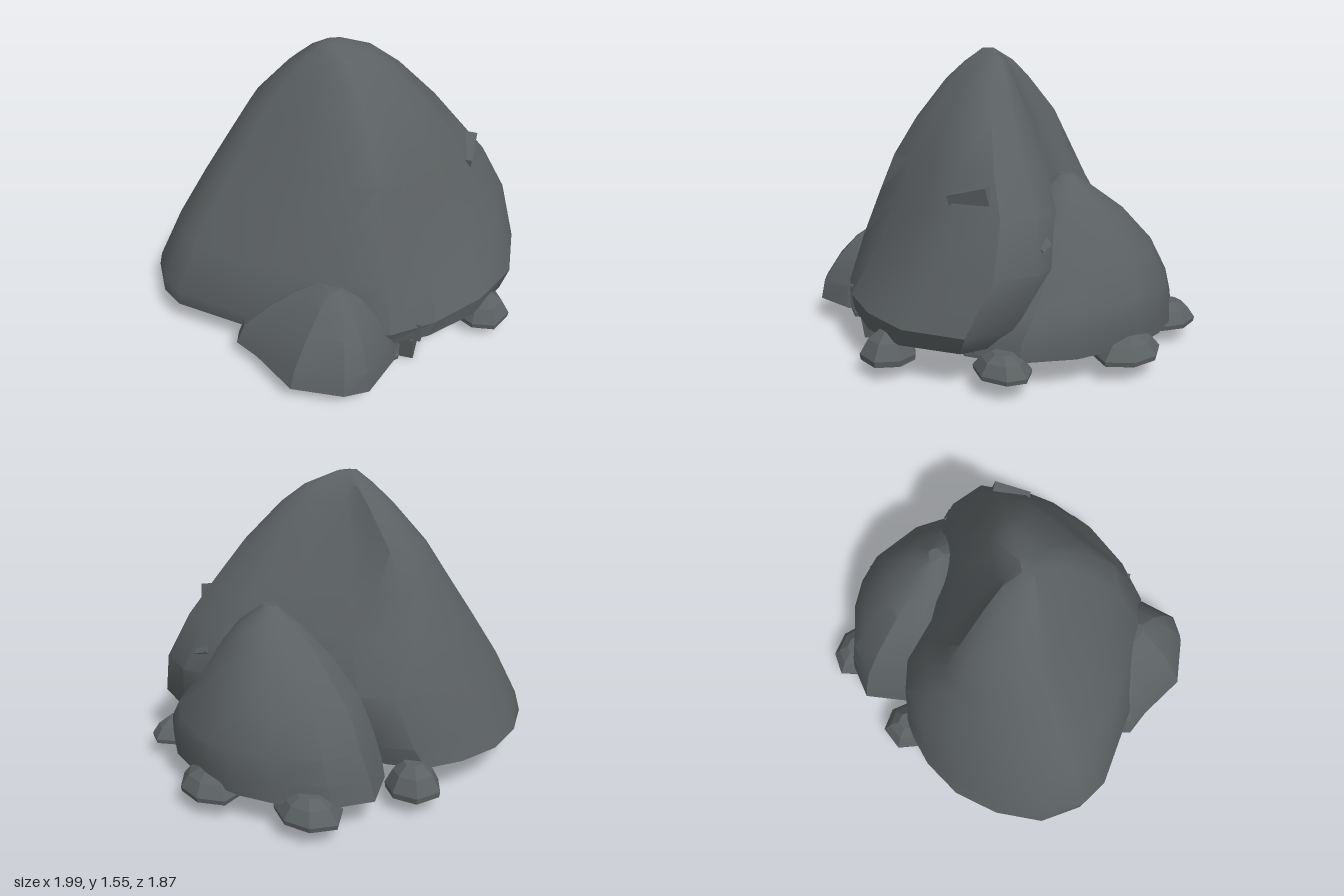
import * as THREE from 'three';
import { toCreasedNormals } from 'three/addons/utils/BufferGeometryUtils.js';

const stone = new THREE.MeshStandardMaterial({ color: 0x5b6062 });
stone.name = 'stone grey';

// Closed rock: one outline [x, z] refitted to the box of each level [y, x0, x1, z0, z1, bulge, cut].
// Bulge fills the -x +z corner, cut trims the +x -z corner.
function loft(name, outline, levels, crease) {
  const xs = outline.map(p => p[0]), zs = outline.map(p => p[1]);
  const ax = Math.min(...xs), bx = Math.max(...xs), az = Math.min(...zs), bz = Math.max(...zs);
  const n = outline.length, pos = [], index = [];
  for (const [y, x0, x1, z0, z1, bulge = 0, cut = 0] of levels) {
    for (const [x, z] of outline) {
      const u = (x - ax) / (bx - ax) * 2 - 1, w = (z - az) / (bz - az) * 2 - 1;
      const push = (u < 0 ? bulge : cut) * Math.max(0, -u * w);
      pos.push((x0 + x1 + (u - push) * (x1 - x0)) / 2, y, (z0 + z1 + (w + push) * (z1 - z0)) / 2);
    }
  }
  const last = levels.length - 1;
  for (const l of [levels[0], levels[last]]) pos.push((l[1] + l[2]) / 2, l[0], (l[3] + l[4]) / 2);
  const bottom = n * levels.length, top = bottom + 1;
  for (let i = 0; i < n; i++) {
    const j = (i + 1) % n;
    for (let k = 0; k < last; k++) {
      const a = k * n + i, b = k * n + j;
      index.push(a, a + n, b, b, a + n, b + n);
    }
    index.push(bottom, i, j, top, last * n + j, last * n + i);
  }
  const geo = new THREE.BufferGeometry();
  geo.setAttribute('position', new THREE.Float32BufferAttribute(pos, 3));
  geo.setIndex(index);
  const mesh = new THREE.Mesh(toCreasedNormals(geo, crease), stone);
  mesh.name = name;
  return mesh;
}

// Low faceted stone with a flat underside
function pebble(name, x, z, rx, rz, y, h, turn) {
  const outline = [];
  for (let i = 0; i < 7; i++) {
    const a = turn + i / 7 * Math.PI * 2, r = i % 3 ? 1 : 0.88;
    outline.push([Math.cos(a) * r, Math.sin(a) * r]);
  }
  const levels = [[0, 0.97], [0.2, 1], [0.7, 0.72], [1, 0.35]].map(([t, s]) =>
    [y + h * t, x - rx * s, x + rx * s, z - rz * s, z + rz * s]);
  return loft(name, outline, levels, 0.15);
}

function block(name, size, at, turn) {
  const mesh = new THREE.Mesh(new THREE.BoxGeometry(...size), stone);
  mesh.name = name;
  mesh.position.set(...at);
  mesh.rotation.set(...turn);
  return mesh;
}

export function createModel() {
  const group = new THREE.Group();
  group.name = 'rockPile';

  // Tall boulder
  group.add(loft('mainBoulder', [
    [0.7, 0.4], [0.64, 0.67], [0.35, 0.84], [0.05, 0.85], [-0.25, 0.77], [-0.47, 0.64],
    [-0.63, 0.44], [-0.85, 0.05], [-1, -0.4], [-0.98, -0.55], [-0.85, -0.75], [-0.6, -0.88],
    [-0.33, -0.94], [-0.08, -0.91], [0.12, -0.82], [0.24, -0.65], [0.42, -0.15], [0.62, 0.15],
  ], [
    [0.19, -0.99, 0.58, -0.93, 0.83, 0, -0.08], [0.29, -1, 0.65, -0.89, 0.85, 0.08, -0.08],
    [0.55, -0.87, 0.7, -0.8, 0.7, 0.33, 0], [0.8, -0.71, 0.61, -0.69, 0.57, 0.52, 0.3],
    [1, -0.58, 0.46, -0.59, 0.48, 0.62, 0.5], [1.2, -0.46, 0.32, -0.48, 0.37, 0.6, 0.68],
    [1.4, -0.33, 0.16, -0.29, 0.21, 0.6, 0.9], [1.49, -0.26, 0.06, -0.18, 0.11, 0.5, 0.8],
    [1.555, -0.2, -0.09, -0.07, -0.01, 0.3, 0.3],
  ], 0.65));

  // Shoulder boulder
  group.add(loft('sideBoulder', [
    [0.92, -0.15], [0.86, 0.2], [0.72, 0.45], [0.5, 0.55], [0.2, 0.4], [0.1, 0],
    [0.15, -0.5], [0.22, -0.7], [0.43, -0.83], [0.62, -0.74], [0.8, -0.52], [0.88, -0.35],
  ], [
    [0.15, 0.1, 0.9, -0.83, 0.55], [0.25, 0.1, 0.91, -0.8, 0.53], [0.37, 0.12, 0.9, -0.75, 0.44],
    [0.55, 0.16, 0.81, -0.65, 0.29], [0.74, 0.24, 0.69, -0.45, 0.17], [0.86, 0.31, 0.58, -0.27, 0.08],
    [0.95, 0.4, 0.47, -0.13, -0.05],
  ], 0.5));

  // Low boulder
  group.add(loft('lowBoulder', [
    [-0.3, 0.4], [-0.35, 0.62], [-0.48, 0.69], [-0.73, 0.73], [-0.84, 0.66],
    [-0.98, 0.43], [-0.94, 0.15], [-0.94, 0], [-0.88, -0.05], [-0.5, 0],
  ], [
    [0.13, -0.98, -0.32, -0.05, 0.73], [0.24, -0.94, -0.36, -0.02, 0.71],
    [0.38, -0.84, -0.42, 0.1, 0.63], [0.48, -0.74, -0.5, 0.22, 0.54], [0.54, -0.66, -0.58, 0.32, 0.44],
  ], 0.35));

  // Stones around the foot: x, z, rx, rz, y, height, turn
  [
    [0.13, 0.79, 0.135, 0.14, 0.08, 0.15, 0.2],
    [0.86, -0.12, 0.13, 0.185, 0.09, 0.12, 0.5],
    [0.11, -0.79, 0.145, 0.15, 0.08, 0.15, 0.9],
    [0.67, -0.64, 0.135, 0.18, 0.09, 0.12, 0.1],
    [0.65, 0.5, 0.15, 0.12, 0.09, 0.11, 0.7],
    [-0.78, 0.08, 0.12, 0.14, 0.08, 0.13, 0.3],
    [-0.46, 0.54, 0.13, 0.14, 0.09, 0.12, 0.6],
    [-0.55, -0.26, 0.13, 0.15, 0.09, 0.13, 1.1],
  ].forEach((p, i) => group.add(pebble('footStone' + (i + 1), ...p)));

  // Blocks under the boulders: x, z, half width, half depth
  [[0.3, 0.29, 0.19, 0.18], [-0.37, -0.36, 0.15, 0.15]].forEach(([x, z, rx, rz], i) => {
    const geo = new THREE.CylinderGeometry(1, 1, 0.15, 6).toNonIndexed();
    geo.scale(rx, 1, rz);
    geo.computeVertexNormals();
    const post = new THREE.Mesh(geo, stone);
    post.name = 'underBlock' + (i + 1);
    post.position.set(x, 0.13, z);
    group.add(post);
  });
  group.add(block('tiltedSlab', [0.45, 0.16, 0.16], [-0.18, 0.125, 0.52], [0, 0.46, 0.19]));

  // Chips on the surface
  group.add(block('largeChip', [0.21, 0.09, 0.1], [0.36, 0.88, 0.455], [0.1, 0.5, 0.2]));
  group.add(block('smallChip', [0.06, 0.05, 0.08], [0.615, 0.66, 0.24], [0.3, 0.3, 0.5]));
  group.add(block('sliver', [0.04, 0.12, 0.04], [-0.35, 0.25, 0.72], [0, 0.4, 0.05]));
  return group;
}
